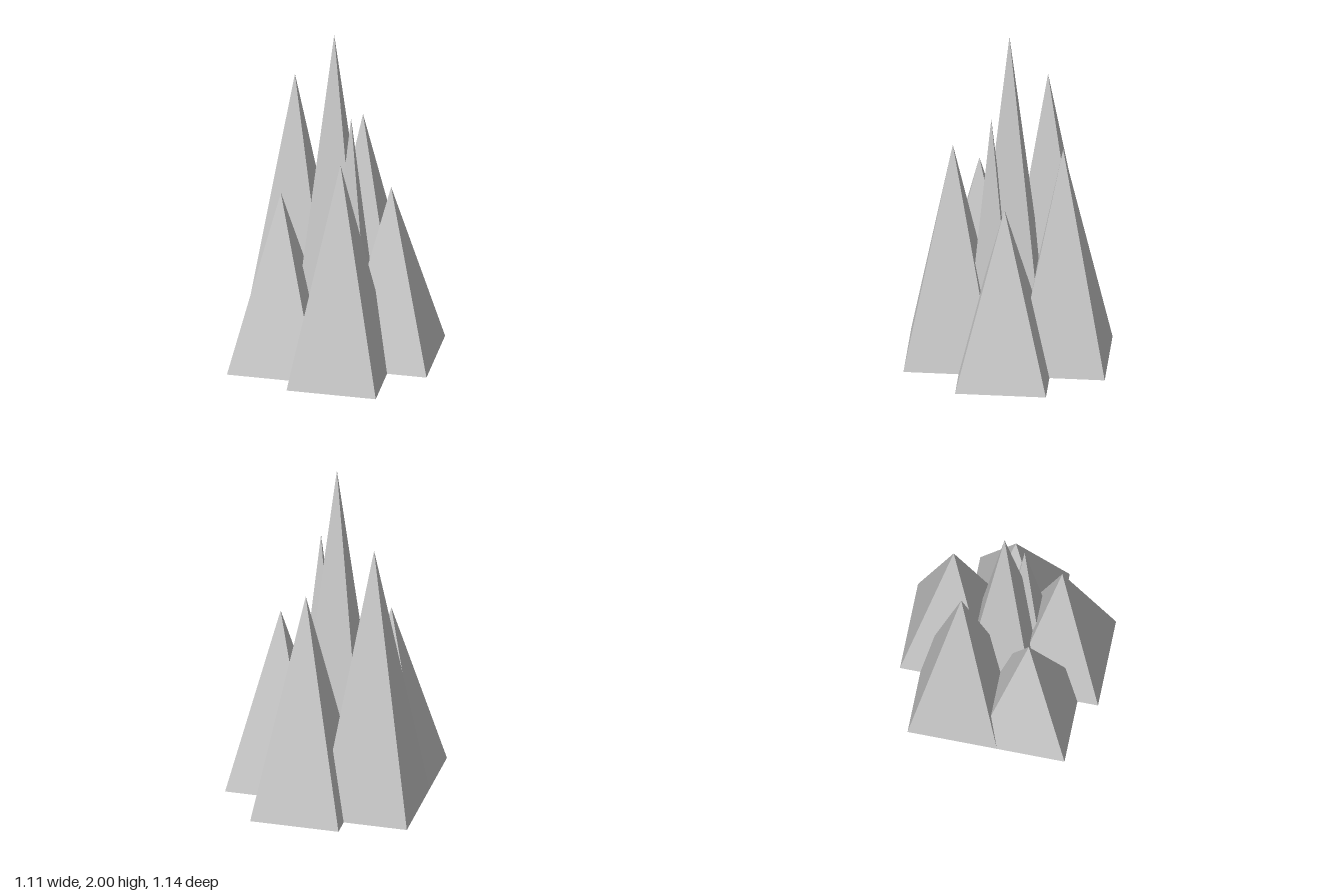
import * as THREE from 'three';

const grey = new THREE.MeshStandardMaterial({ color: 0xcccccc, flatShading: true, side: THREE.DoubleSide });
grey.name = 'stone grey';

// Four-sided spike, open underneath, standing on y = 0
function spike(name, x, z, height, halfBase) {
  const geometry = new THREE.ConeGeometry(halfBase * Math.SQRT2, height, 4, 1, true);
  geometry.rotateY(Math.PI / 4);
  geometry.translate(0, height / 2, 0);
  const mesh = new THREE.Mesh(geometry, grey);
  mesh.name = name;
  mesh.position.set(x, 0, z);
  return mesh;
}

export function createModel() {
  const group = new THREE.Group();
  group.name = 'spikeCluster';

  // Slender inner spikes
  group.add(spike('centreSpike', -0.031, 0, 2, 0.214));
  group.add(spike('thinSpike', 0.086, 0.093, 1.526, 0.145));

  // Broad outer spikes
  const outer = [
    ['backRightSpike', -0.299, -0.196, 1.62],
    ['frontRightSpike', -0.299, 0.194, 1.06],
    ['backSpike', 0.07, -0.314, 1.34],
    ['frontSpike', 0.07, 0.313, 1.34],
    ['leftSpike', 0.298, 0, 1.06],
  ];
  for (const [name, x, z, height] of outer) group.add(spike(name, x, z, height, 0.258));

  return group;
}
